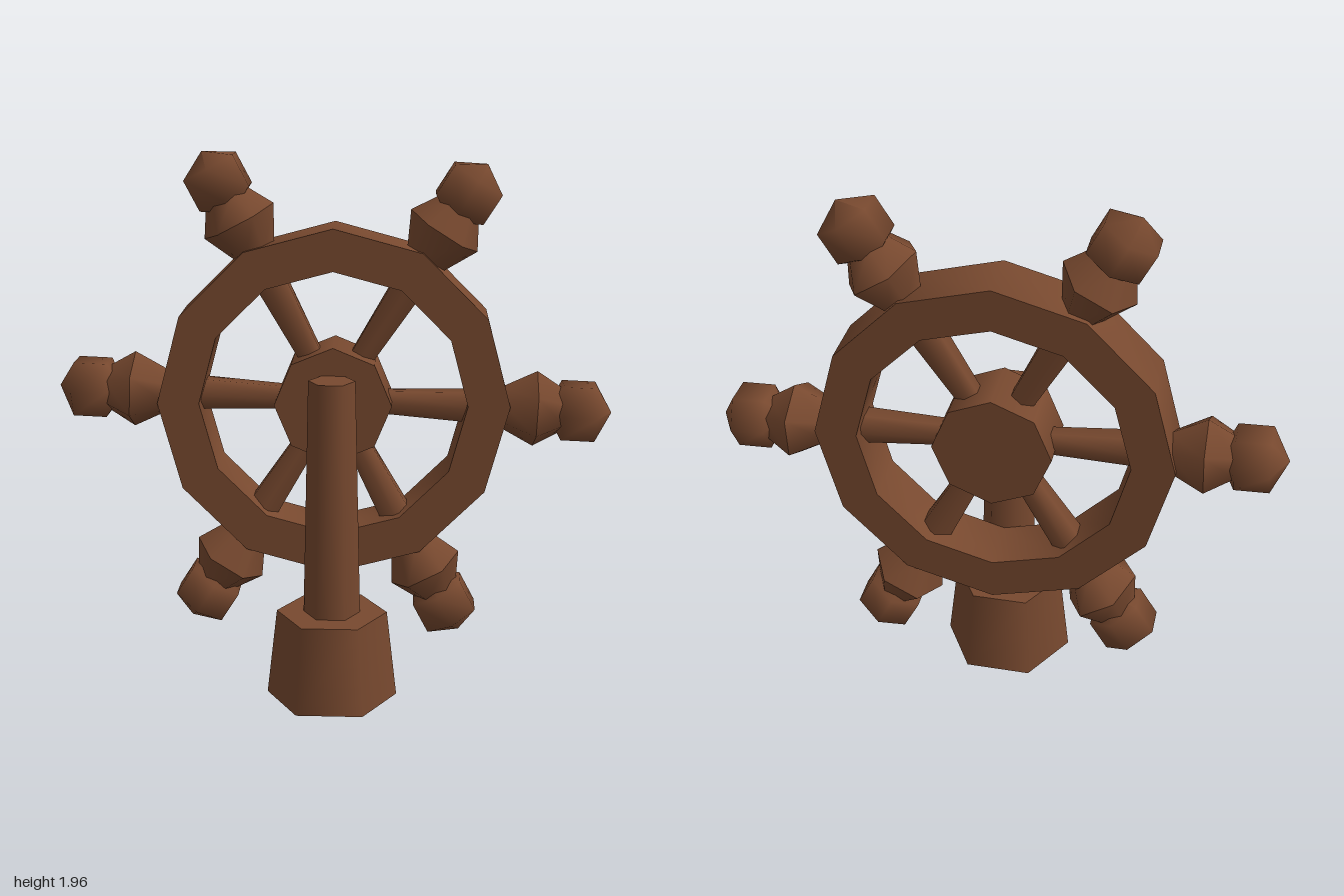
import * as THREE from 'three';
import { toCreasedNormals } from 'three/addons/utils/BufferGeometryUtils.js';

const WHEEL_Y = 1.07, WHEEL_Z = -0.125;
const RING_OUTER = 0.63, RING_INNER = 0.48, RING_DEPTH = 0.21;

export function createModel() {
  const wood = new THREE.MeshStandardMaterial({ color: 0x78492f });
  wood.name = 'brown wood';
  const model = new THREE.Group();
  model.name = 'shipWheel';

  const add = (parent, name, geometry, x = 0, y = 0, z = 0) => {
    const mesh = new THREE.Mesh(geometry, wood);
    mesh.name = name;
    mesh.position.set(x, y, z);
    parent.add(mesh);
    return mesh;
  };
  // Six-sided tapered prism; corners on the x axis when turned by a twelfth
  const hexPrism = (top, bottom, height, start = Math.PI / 6) =>
    new THREE.CylinderGeometry(top, bottom, height, 6, 1, false, start);
  const polygon = (path, radius, sides) =>
    path.setFromPoints(Array.from({ length: sides }, (_, i) => {
      const a = Math.PI / 2 + (i / sides) * Math.PI * 2;
      return new THREE.Vector2(Math.cos(a) * radius, Math.sin(a) * radius);
    }));

  // Stand
  add(model, 'base', hexPrism(0.2, 0.237, 0.32), 0, 0.16, 0.062);
  add(model, 'post', hexPrism(0.083, 0.103, 0.88), 0, 0.74, 0.062);

  // Wheel
  const wheel = new THREE.Group();
  wheel.name = 'wheel';
  wheel.position.set(0, WHEEL_Y, WHEEL_Z);
  model.add(wheel);

  const outline = polygon(new THREE.Shape(), RING_OUTER, 12);
  outline.holes.push(polygon(new THREE.Path(), RING_INNER, 12));
  const ring = new THREE.ExtrudeGeometry(outline, { depth: RING_DEPTH, bevelEnabled: false });
  ring.translate(0, 0, -RING_DEPTH / 2);
  add(wheel, 'rim', toCreasedNormals(ring, 0.7));

  const hub = new THREE.CylinderGeometry(0.21, 0.21, 0.225, 8);
  hub.rotateX(Math.PI / 2);
  add(wheel, 'hub', hub);

  // Spokes with turned handles, slightly rotated from level
  const spoke = hexPrism(0.066, 0.045, 0.4, 0);
  const collarInner = hexPrism(0.139, 0.072, 0.13);
  const collarOuter = hexPrism(0.078, 0.139, 0.1);
  for (const g of [collarInner, collarOuter]) g.scale(1, 1, 1.1);
  const knobProfile = [[0, -0.12], [0.113, -0.06], [0.113, 0.06], [0, 0.12]]
    .map(([r, y]) => new THREE.Vector2(r, y));
  const knob = new THREE.LatheGeometry(knobProfile, 6);

  for (let i = 0; i < 6; i++) {
    const arm = new THREE.Group();
    arm.name = 'arm' + (i + 1);
    arm.rotation.z = (i * Math.PI) / 3 - Math.PI / 2 - 0.04;
    wheel.add(arm);
    add(arm, 'spoke', spoke, 0, 0.33);
    add(arm, 'handleCollarInner', collarInner, 0, 0.66);
    add(arm, 'handleCollarOuter', collarOuter, 0, 0.775);
    add(arm, 'handleKnob', knob, 0, 0.88);
  }
  return model;
}
